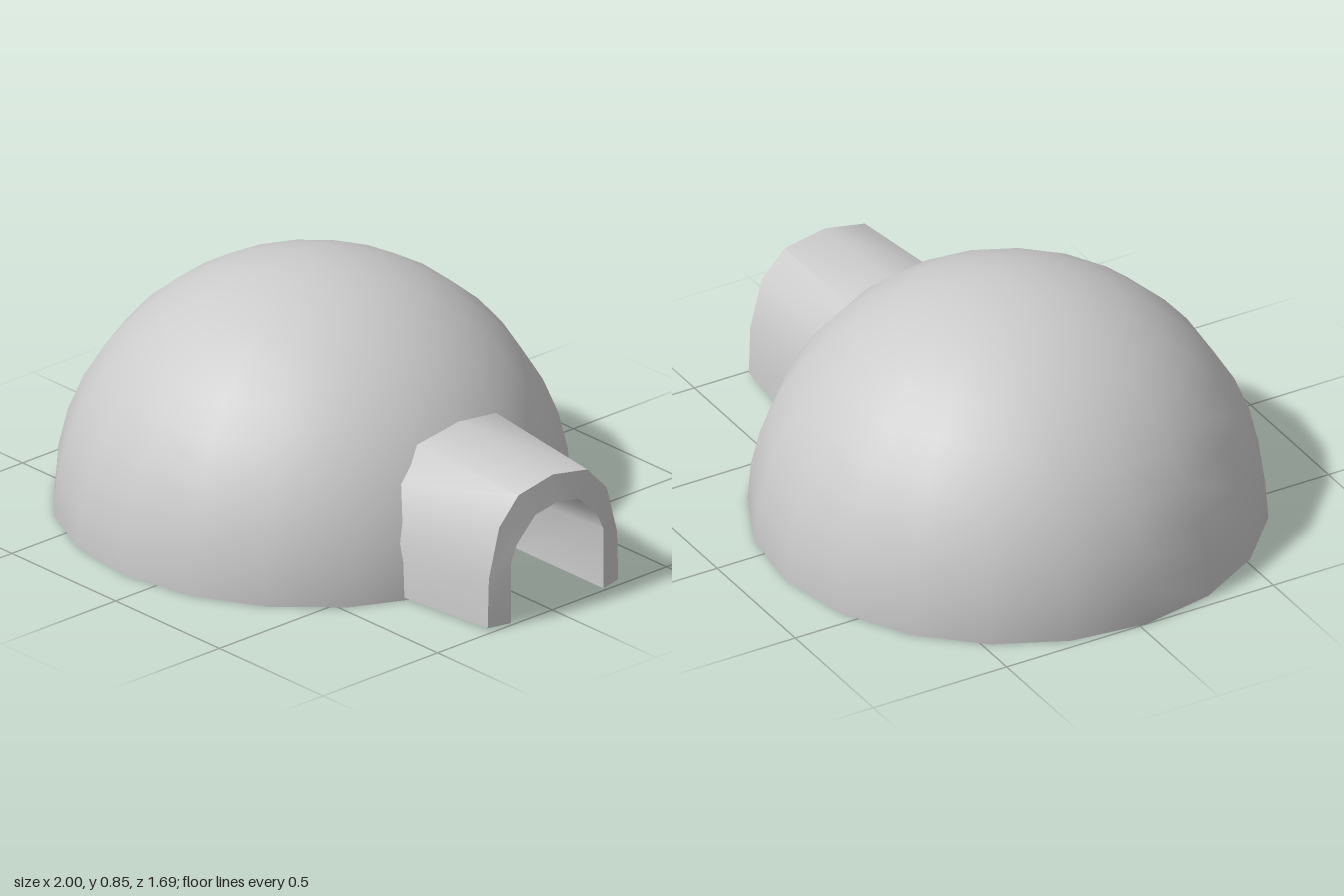
import * as THREE from 'three';
import { toCreasedNormals } from 'three/addons/utils/BufferGeometryUtils.js';

const RADIUS = 0.845;
const CENTRE = new THREE.Vector3(-0.155, 0, 0);
const AXIS_Z = -0.022; // the tunnel sits slightly off the dome's axis

// True inside the doorway cut, which runs midway through the tunnel wall
const inDoorway = (p) =>
  p.x > 0 && (Math.abs(p.z - AXIS_Z) / 0.265) ** 3 + (p.y / 0.425) ** 3 < 1;

// Faceted dome with smooth normals; facets near the doorway are split and trimmed
function domeGeometry() {
  const sphere = new THREE.SphereGeometry(RADIUS, 20, 10, 0, Math.PI * 2, 0, Math.PI / 2)
    .rotateY(0.03).translate(CENTRE.x, 0, 0).toNonIndexed();
  const source = sphere.attributes.position;
  const positions = [], normals = [];

  const addFace = (a, b, c, depth) => {
    if (depth > 0) {
      const [ab, bc, ca] = [[a, b], [b, c], [c, a]].map(([p, q]) => p.clone().lerp(q, 0.5));
      addFace(a, ab, ca, depth - 1);
      addFace(ab, b, bc, depth - 1);
      addFace(ca, bc, c, depth - 1);
      addFace(ab, bc, ca, depth - 1);
      return;
    }
    const middle = a.clone().add(b).add(c).divideScalar(3);
    if (inDoorway(middle)) return;
    for (const p of [a, b, c]) {
      positions.push(p.x, p.y, p.z);
      normals.push(...p.clone().sub(CENTRE).normalize().toArray());
    }
  };

  for (let i = 0; i < source.count; i += 3) {
    const face = [0, 1, 2].map((k) => new THREE.Vector3().fromBufferAttribute(source, i + k));
    const nearDoor = face.some((p) => p.x > 0.3 && p.y < 0.6 && Math.abs(p.z) < 0.45);
    addFace(...face, nearDoor ? 4 : 0);
  }
  const geometry = new THREE.BufferGeometry();
  geometry.setAttribute('position', new THREE.Float32BufferAttribute(positions, 3));
  geometry.setAttribute('normal', new THREE.Float32BufferAttribute(normals, 3));
  return geometry;
}

// Half arches [offset from axis, height], from foot to crown
const OUTER = [[0.285, 0.008], [0.28, 0.18], [0.235, 0.35], [0.15, 0.44], [0, 0.468]];
const INNER = [[0.202, 0.008], [0.202, 0.22], [0.175, 0.28], [0.095, 0.36], [0, 0.377]];
const INNER_BACK = [[0.202, 0.008], [0.202, 0.19], [0.18, 0.245], [0.105, 0.312], [0, 0.315]];

const mirrorArch = (half) =>
  [...half, ...half.slice(0, -1).reverse().map(([z, y]) => [-z, y])];

// Tunnel: rows of arch points running along the outside, round the mouth, then back inside
function tunnelGeometry() {
  const outer = mirrorArch(OUTER), inner = mirrorArch(INNER), back = mirrorArch(INNER_BACK);
  const innerMid = inner.map(([z, y], i) => [z, y + (back[i][1] - y) * 0.62]);
  const place = (arch, x) => arch.map(([z, y]) => [x, y, z + AXIS_Z]);
  // The outer skin widens towards the dome and ends just inside its surface
  const outerBack = outer.map(([z0, y0]) => {
    let x = 0.6, y = y0, z = z0;
    for (let n = 0; n < 4; n++) {
      z = z0 * (1 + 0.4 * (0.98 - x)) + AXIS_Z;
      y = y0 * (1 + 0.16 * (0.98 - x));
      x = CENTRE.x + Math.sqrt(RADIUS ** 2 - y * y - z * z) - 0.03;
    }
    return [x, y, z];
  });
  const rows = [outerBack, place(outer, 0.98), place(inner, 1), place(innerMid, 0.6), place(back, 0.35)];

  const count = outer.length, last = count - 1;
  const index = [];
  const quad = (a, b, c, d) => index.push(a, b, c, a, c, d);
  for (let r = 0; r < rows.length - 1; r++) {
    for (let i = 0; i < last; i++) {
      const a = r * count + i, b = a + count;
      quad(a, b, b + 1, a + 1);
    }
  }
  // Undersides of the two wall feet
  quad(3 * count, 2 * count, count, 0);
  quad(last, count + last, 2 * count + last, 3 * count + last);

  const geometry = new THREE.BufferGeometry();
  geometry.setAttribute('position', new THREE.Float32BufferAttribute(rows.flat(2), 3));
  geometry.setIndex(index);
  return toCreasedNormals(geometry, 0.6);
}

export function createModel() {
  const material = new THREE.MeshStandardMaterial({ color: 0xcccccc, side: THREE.DoubleSide });
  const group = new THREE.Group();
  group.name = 'igloo';
  const add = (name, geometry) => {
    const mesh = new THREE.Mesh(geometry, material);
    mesh.name = name;
    group.add(mesh);
  };
  add('dome', domeGeometry());
  add('entranceTunnel', tunnelGeometry());
  return group;
}
